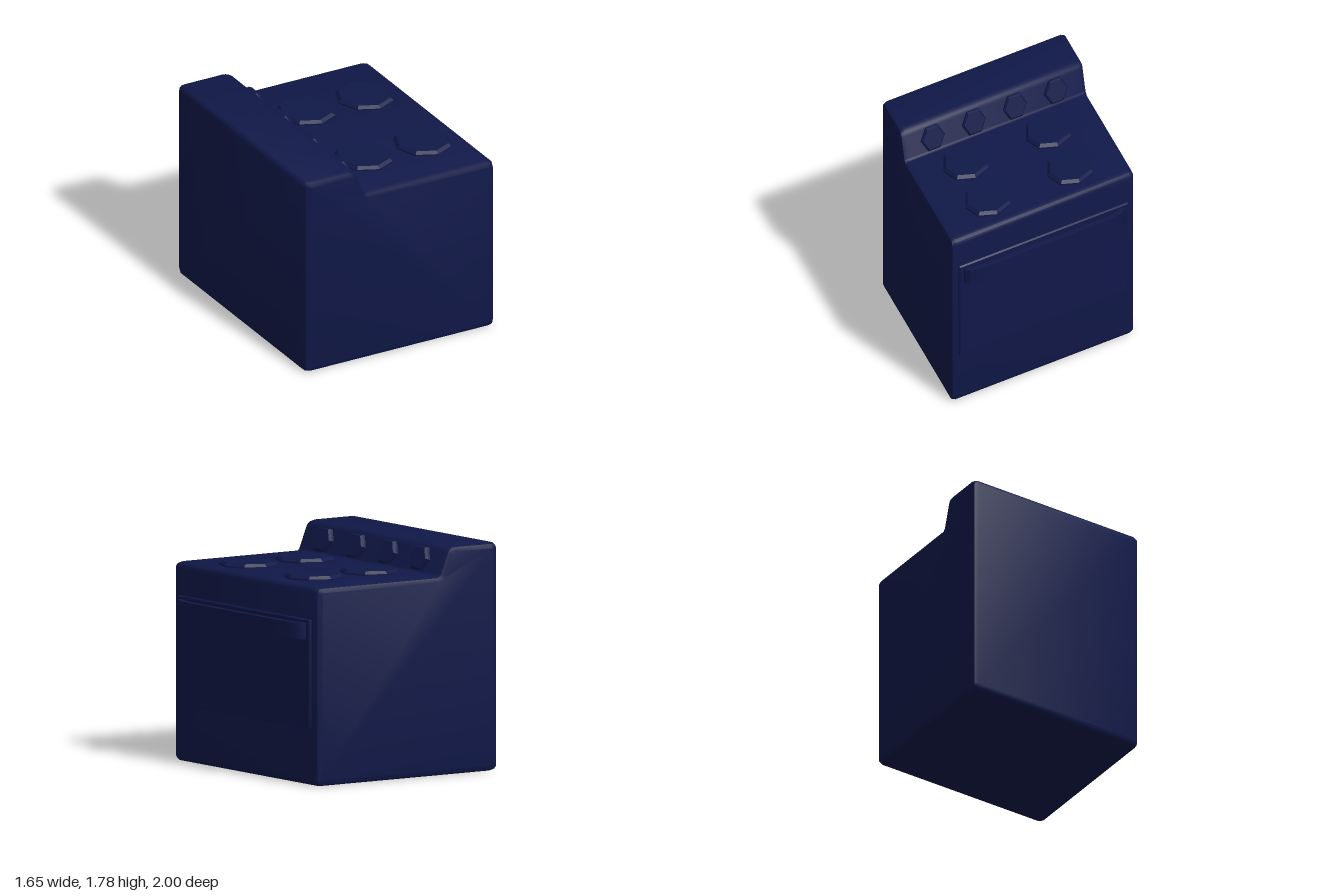
import * as THREE from 'three';
import { toCreasedNormals } from 'three/addons/utils/BufferGeometryUtils.js';

const material = new THREE.MeshStandardMaterial({ color: 0x101848 });

// The whole cooker leans sideways: z shifts in proportion to x
const K = 0.222;
const skew = new THREE.Matrix4().set(
  1, 0, 0, 0,
  0, 1, 0, 0,
  K, 0, 1, K * 0.05,
  0, 0, 0, 1
);

// Closed shape with each corner [x, y, radius] rounded off
function roundedShape(corners) {
  const shape = new THREE.Shape();
  corners.forEach(([x, y, r], i) => {
    const p = new THREE.Vector2(x, y);
    const toward = ([a, b]) => new THREE.Vector2(a, b).sub(p).setLength(r).add(p);
    const a = toward(corners.at(i - 1));
    const b = toward(corners[(i + 1) % corners.length]);
    if (i === 0) shape.moveTo(a.x, a.y); else shape.lineTo(a.x, a.y);
    shape.quadraticCurveTo(x, y, b.x, b.y);
  });
  shape.closePath();
  return shape;
}

// Extrusion centred on z = 0 with its bevel kept inside the outline
function slab(shape, depth, bevel, bevelSegments = 2) {
  const g = new THREE.ExtrudeGeometry(shape, {
    depth: depth - 2 * bevel, curveSegments: 3, bevelEnabled: bevel > 0,
    bevelSize: bevel, bevelThickness: bevel, bevelOffset: -bevel, bevelSegments
  });
  return g.translate(0, 0, -depth / 2 + bevel);
}

// Low disc with a chamfered rim, standing on y = 0
function disc(radius, height, chamfer, sides) {
  const profile = [[0, 0], [radius, 0], [radius, height - chamfer], [radius - chamfer, height], [0, height]];
  return new THREE.LatheGeometry(profile.map(([x, y]) => new THREE.Vector2(x, y)), sides);
}

export function createModel() {
  const model = new THREE.Group();
  model.name = 'cooker';

  const add = (name, geometry, crease = 0.6) => {
    const mesh = new THREE.Mesh(toCreasedNormals(geometry.applyMatrix4(skew), crease), material);
    mesh.name = name;
    model.add(mesh);
  };

  // Body and raised control panel in one side profile
  add('body', slab(roundedShape([
    [-0.83, 0, 0.055], [0.73, 0, 0.055], [0.73, 1.555, 0.055],
    [-0.325, 1.555, 0.02], [-0.41, 1.785, 0.05], [-0.83, 1.785, 0.055]
  ]), 1.67, 0.045));

  // Hob plates
  for (const x of [-0.06, 0.42]) {
    for (const z of [-0.375, 0.375]) {
      add('hobPlate', disc(0.207, 0.04, 0.022, 8).translate(x, 1.548, z), 0.3);
    }
  }

  // Control knobs on the sloping panel
  const slope = Math.atan2(0.085, 0.23);
  for (let i = 0; i < 4; i++) {
    const knob = disc(0.107, 0.04, 0.015, 6);
    knob.rotateZ(slope - Math.PI / 2).translate(-0.37, 1.658, -0.56 + i * 0.373);
    add('knob', knob, 0.3);
  }

  // Oven door
  const door = slab(roundedShape([
    [-0.77, 0.445, 0.012], [0.77, 0.445, 0.012], [0.77, 1.3, 0.012], [-0.77, 1.3, 0.012]
  ]), 0.05, 0.01, 1);
  add('ovenDoor', door.rotateY(Math.PI / 2).translate(0.722, 0, 0));

  // Bowed flat handle, drawn in plan (z, x) and extruded upward
  const outer = [[0.73, 0.735], [0.725, 0.765], [0.69, 0.8], [0.63, 0.815], [0.5, 0.822]];
  const inner = [[0.5, 0.78], [0.61, 0.775], [0.655, 0.763], [0.685, 0.735]];
  const mirror = (pts) => pts.map(([z, x]) => [-z, x]).reverse();
  const plan = [...outer, ...mirror(outer), ...mirror(inner), ...inner];
  const handle = slab(new THREE.Shape(plan.map(([z, x]) => new THREE.Vector2(z, x))), 0.13, 0);
  // Plan axes (z, x, up) become model axes
  const toModel = new THREE.Matrix4().set(
    0, 1, 0, 0,
    0, 0, 1, 1.208,
    1, 0, 0, 0,
    0, 0, 0, 1
  );
  add('handle', handle.applyMatrix4(toModel));

  return model;
}
